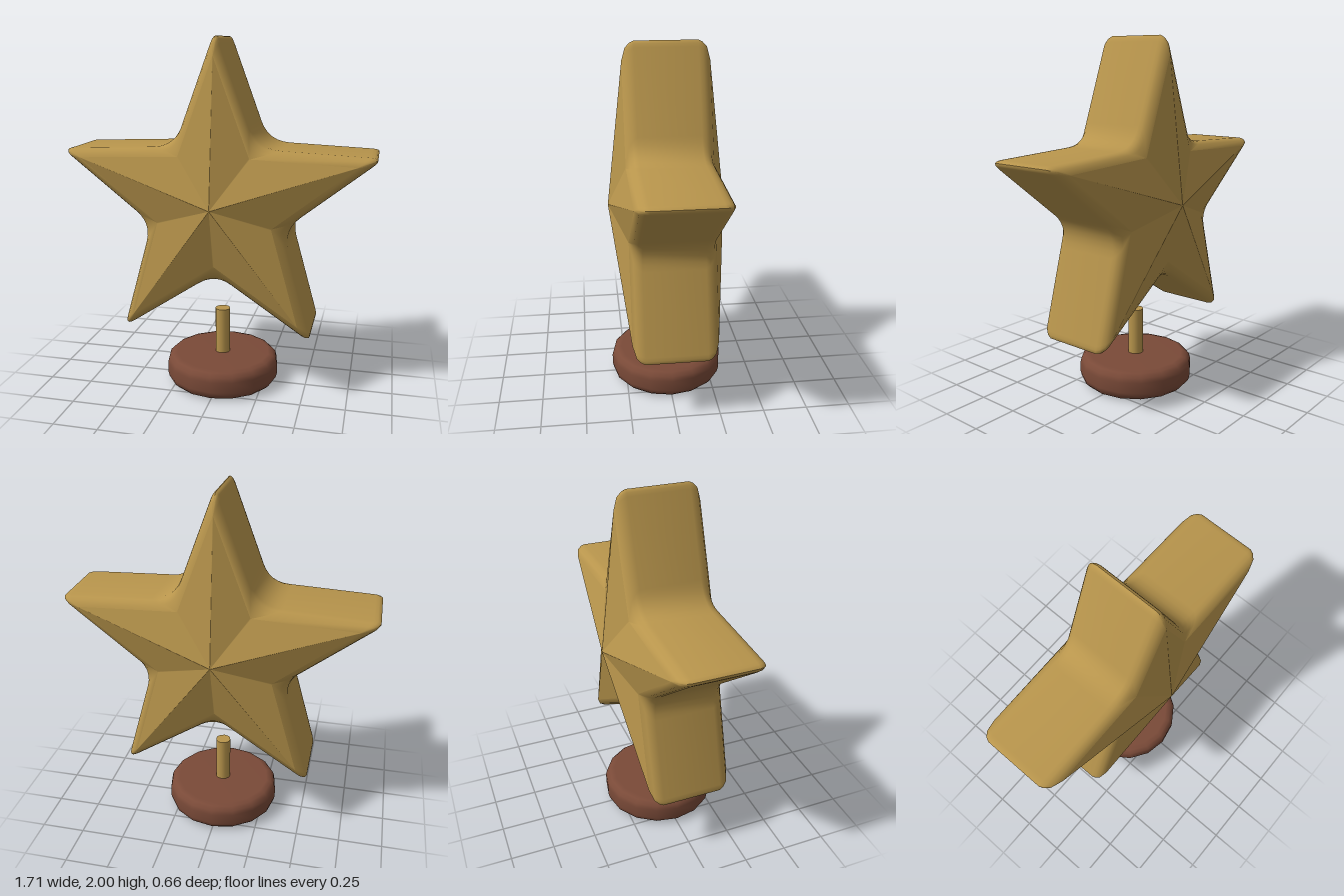
import * as THREE from 'three';
import { toCreasedNormals } from 'three/addons/utils/BufferGeometryUtils.js';

const CENTRE_Y = 1.1;
const TIP_R = 0.933, NOTCH_R = 0.39; // sharp star corners before rounding
const TIP_HALF = THREE.MathUtils.degToRad(20.5);
const NOTCH_HALF = TIP_HALF + Math.PI / 5;

// Star outline, moved inwards by inset, with rounded tips and notches
function starRing(inset, z, tipRound, notchRound) {
  const corners = [];
  for (let i = 0; i < 10; i++) {
    const tip = i % 2 === 0;
    const r = tip ? TIP_R - inset / Math.sin(TIP_HALF) : NOTCH_R - inset / Math.sin(NOTCH_HALF);
    const a = Math.PI / 2 + i * Math.PI / 5;
    corners.push(new THREE.Vector2(Math.cos(a) * r, Math.sin(a) * r));
  }
  const ring = [];
  corners.forEach((c, i) => {
    const round = i % 2 === 0 ? tipRound : notchRound;
    const towards = (o) => c.clone().add(o.clone().sub(c).setLength(round));
    const curve = new THREE.QuadraticBezierCurve(
      towards(corners[(i + 9) % 10]), c, towards(corners[(i + 1) % 10]));
    curve.getPoints(6).forEach((p) => ring.push([p.x, p.y, z]));
  });
  return ring;
}

function geometryFrom(positions) {
  const g = new THREE.BufferGeometry();
  g.setAttribute('position', new THREE.Float32BufferAttribute(positions, 3));
  g.computeVertexNormals();
  return g;
}

// Side wall and rounded bevels, skinned from back ring to front ring
function starRim(rings) {
  const pos = [];
  for (let k = 0; k < rings.length - 1; k++) {
    const A = rings[k], B = rings[k + 1];
    for (let i = 0; i < A.length; i++) {
      const j = (i + 1) % A.length;
      pos.push(...A[i], ...A[j], ...B[j], ...A[i], ...B[j], ...B[i]);
    }
  }
  return toCreasedNormals(geometryFrom(pos), 0.72);
}

// Faceted pyramid from a ring to its apex
function starFace(ring, apexZ) {
  const pos = [];
  ring.forEach((p, i) => {
    const q = ring[(i + 1) % ring.length];
    if (apexZ > 0) pos.push(...p, ...q, 0, 0, apexZ);
    else pos.push(...q, ...p, 0, 0, apexZ);
  });
  return geometryFrom(pos);
}

export function createModel() {
  const gold = new THREE.MeshStandardMaterial({ name: 'gold', color: 0xb8954c });
  const wood = new THREE.MeshStandardMaterial({ name: 'brown wood', color: 0x7a4a38 });
  const model = new THREE.Group();
  model.name = 'starTrophy';

  const add = (name, geometry, material, parent = model) => {
    const mesh = new THREE.Mesh(geometry, material);
    mesh.name = name;
    parent.add(mesh);
    return mesh;
  };

  // Star
  const star = new THREE.Group();
  star.name = 'star';
  star.position.y = CENTRE_Y;
  model.add(star);
  const steps = [ // inset, z, tip rounding, notch rounding
    [0, 0.17, 0.07, 0.125],
    [0.004, 0.193, 0.068, 0.11],
    [0.016, 0.217, 0.05, 0.08],
    [0.0466, 0.236, 0.004, 0.004],
  ];
  const front = steps.map(([d, z, t, n]) => starRing(d, z, t, n));
  const back = steps.map(([d, z, t, n]) => starRing(d, -z, t, n)).reverse();
  add('starRim', starRim([...back, ...front]), gold, star);
  add('starFront', starFace(front[3], 0.33), gold, star);
  add('starBack', starFace(back[0], -0.33), gold, star);

  // Rod
  const rod = add('rod', new THREE.CylinderGeometry(0.044, 0.044, 0.29, 12), gold);
  rod.position.y = 0.295;

  // Round base with softened rims
  const profile = [[0, 0], [0.275, 0], [0.303, 0.008], [0.323, 0.028], [0.33, 0.055],
    [0.33, 0.115], [0.323, 0.142], [0.303, 0.162], [0.275, 0.17], [0, 0.17]]
    .map(([x, y]) => new THREE.Vector2(x, y));
  add('base', new THREE.LatheGeometry(profile, 16), wood);

  return model;
}
